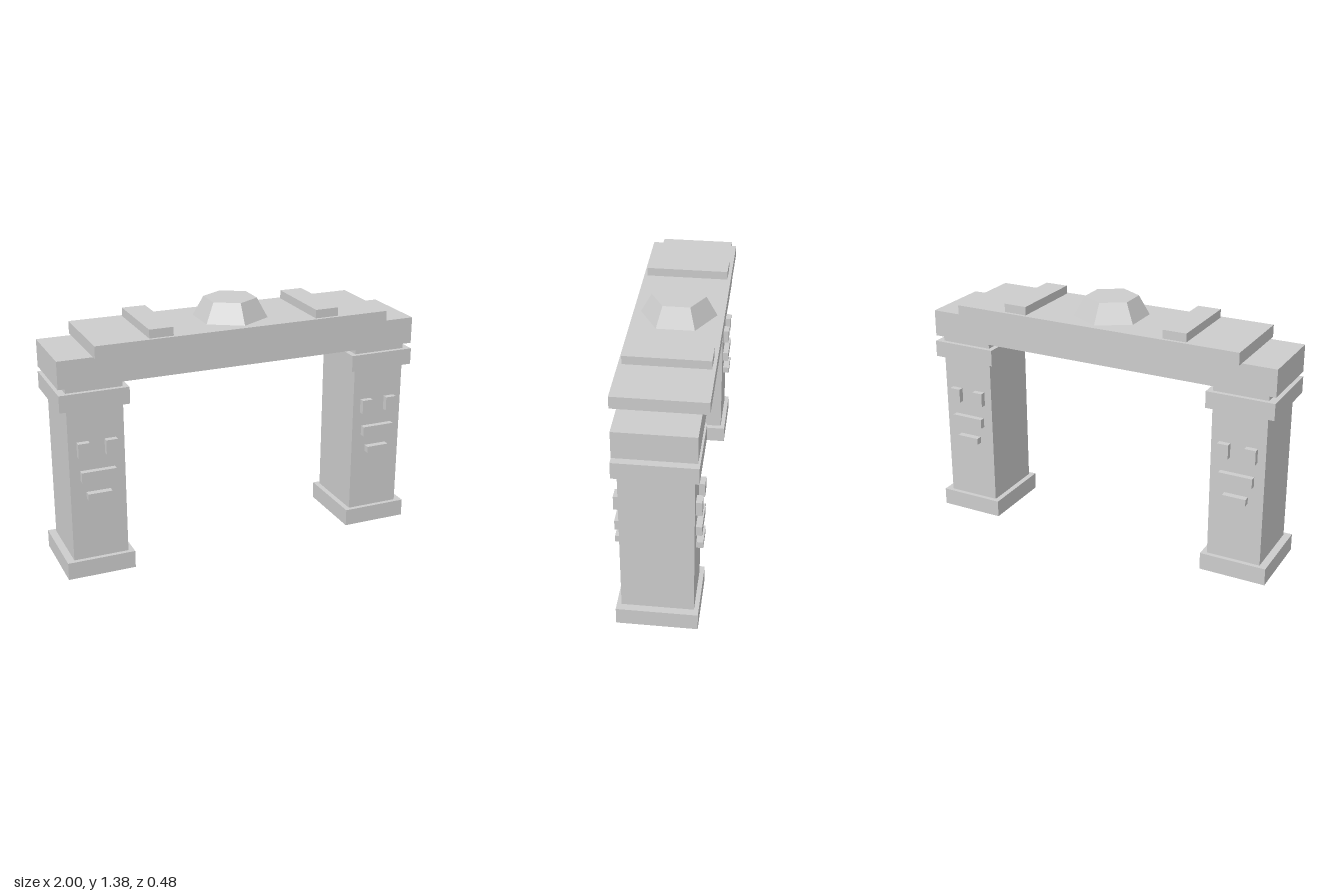
import * as THREE from 'three';

const stone = new THREE.MeshStandardMaterial({ color: 0xcccccc });
stone.name = 'paleStone';

// Box given by its x range, y range and half depth (or z range)
function block(name, [x0, x1], [y0, y1], [z0, z1]) {
  const mesh = new THREE.Mesh(new THREE.BoxGeometry(x1 - x0, y1 - y0, z1 - z0), stone);
  mesh.position.set((x0 + x1) / 2, (y0 + y1) / 2, (z0 + z1) / 2);
  mesh.name = name;
  return mesh;
}
const both = (h) => [-h, h];
const around = (c, h) => [c - h, c + h];

// Pillar with foot, capital and a carved face on front and back
function pillar(name, x) {
  const g = new THREE.Group();
  g.name = name;
  g.add(block('shaft', around(0, 0.148), [0, 1.06], both(0.185)));
  // foot and capital reach the ends of the lintel
  g.add(block('foot', around(0.005 * Math.sign(x), 0.183), [0.01, 0.105], both(0.209)));
  g.add(block('capital', around(0.005 * Math.sign(x), 0.183), [0.94, 1.03], both(0.209)));
  for (const side of [1, -1]) {
    const depth = (d) => (side > 0 ? [0.18, d] : [-d, -0.18]);
    for (const s of [-1, 1]) {
      g.add(block('eye', around(s * 0.0735, 0.0305), [0.685, 0.763], depth(0.216)));
    }
    g.add(block('mouth', around(0, 0.0925), [0.55, 0.604], depth(0.216)));
    g.add(block('chin', around(0, 0.0645), [0.447, 0.483], depth(0.22)));
  }
  g.position.x = x;
  return g;
}

export function createModel() {
  const model = new THREE.Group();
  model.name = 'stoneGate';
  model.add(pillar('leftPillar', 0.812), pillar('rightPillar', -0.812));

  // Stacked roof beams
  model.add(block('lintel', both(1), [1.06, 1.206], both(0.202)));
  model.add(block('upperSlab', both(0.815), [1.206, 1.272], both(0.238)));
  for (const s of [1, -1]) {
    model.add(block('crossBar', around(s * 0.4625, 0.0645), [1.272, 1.318], both(0.22)));
  }

  // Six-sided cut stone on top
  const gemGeometry = new THREE.CylinderGeometry(0.142, 0.2, 0.105, 6).toNonIndexed();
  gemGeometry.computeVertexNormals();
  const gem = new THREE.Mesh(gemGeometry, stone);
  gem.name = 'crownStone';
  gem.position.y = 1.3245;
  model.add(gem);
  return model;
}
